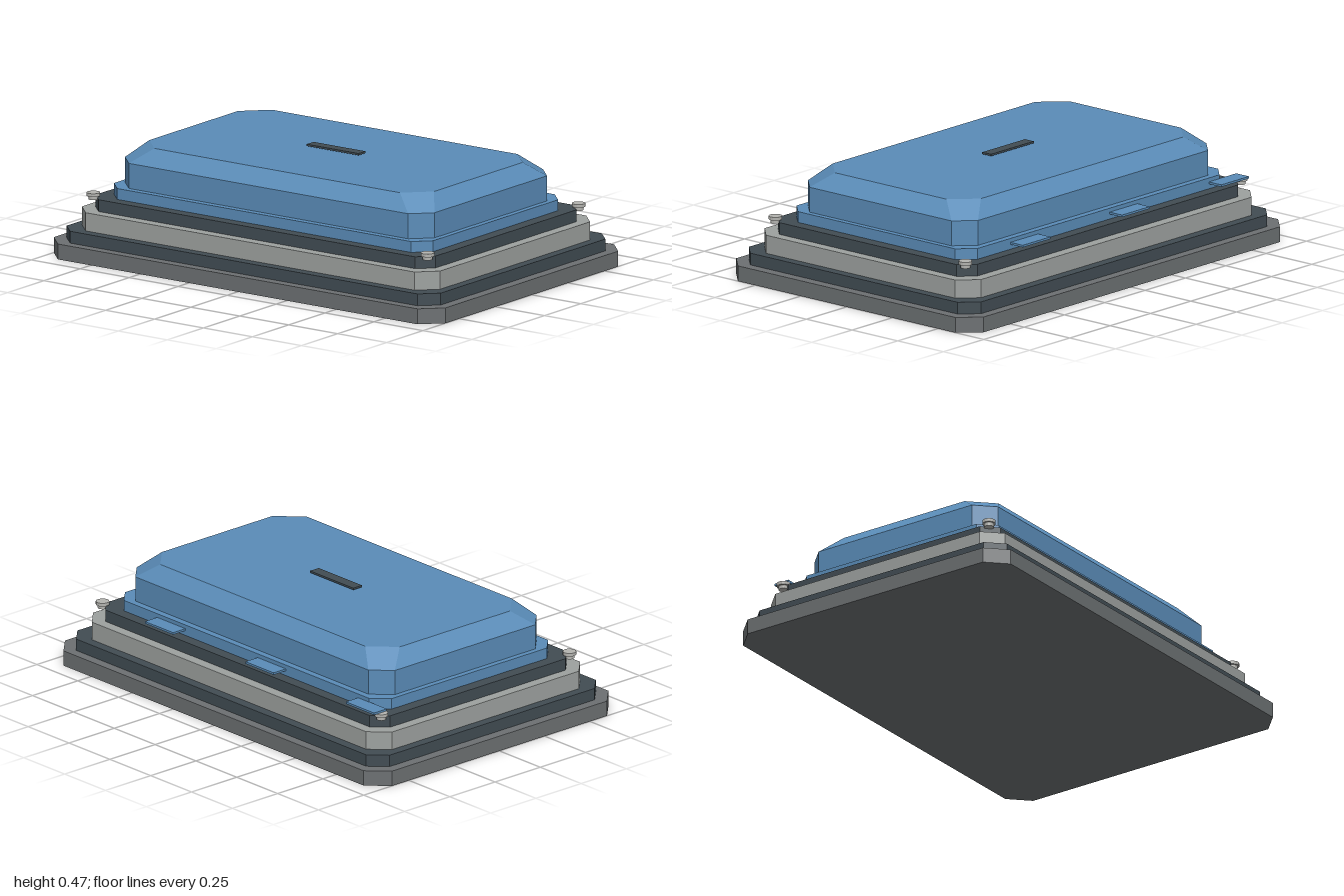
import * as THREE from 'three';

const mat = (color) => new THREE.MeshStandardMaterial({ color, flatShading: true });

// Corners of a rectangle with cut corners, at height y
function ring(hx, hz, cut, y) {
  return [
    [hx - cut, hz], [hx, hz - cut], [hx, cut - hz], [hx - cut, -hz],
    [cut - hx, -hz], [-hx, cut - hz], [-hx, hz - cut], [cut - hx, hz],
  ].map(([x, z]) => [x, y, z]);
}

// Closed solid lofted through a stack of rings, bottom to top
function loft(rings) {
  const pos = [];
  const tri = (a, b, c) => pos.push(...a, ...b, ...c);
  const n = 8;
  for (let r = 0; r < rings.length - 1; r++) {
    const lo = rings[r], hi = rings[r + 1];
    for (let i = 0; i < n; i++) {
      const j = (i + 1) % n;
      tri(lo[i], lo[j], hi[j]);
      tri(lo[i], hi[j], hi[i]);
    }
  }
  const bottom = rings[0], top = rings[rings.length - 1];
  for (let i = 1; i < n - 1; i++) {
    tri(bottom[0], bottom[i + 1], bottom[i]);
    tri(top[0], top[i], top[i + 1]);
  }
  const geo = new THREE.BufferGeometry();
  geo.setAttribute('position', new THREE.Float32BufferAttribute(pos, 3));
  geo.computeVertexNormals();
  return geo;
}

export function createModel() {
  const model = new THREE.Group();
  model.name = 'steppedCase';
  const grey = mat(0x6c7072), dark = mat(0x414c53), light = mat(0x9da19f);
  const blue = mat(0x5a8cb8), metal = mat(0xb4b4b0);

  function add(name, geo, material, x = 0, y = 0, z = 0, parent = model) {
    const mesh = new THREE.Mesh(geo, material);
    mesh.name = name;
    mesh.position.set(x, y, z);
    parent.add(mesh);
    return mesh;
  }

  // Stepped plates: name, half width, half depth, corner cut, bottom, top
  const plates = [
    ['basePlate', 1, 0.677, 0.082, 0, 0.065, grey],
    ['lowerGasket', 0.955, 0.635, 0.068, 0.065, 0.115, dark],
    ['middleFrame', 0.914, 0.592, 0.075, 0.115, 0.192, light],
    ['upperGasket', 0.868, 0.545, 0.06, 0.192, 0.242, dark],
    ['lidFlange', 0.815, 0.495, 0.065, 0.242, 0.288, blue],
  ];
  for (const [name, hx, hz, cut, y0, y1, material] of plates) {
    add(name, loft([ring(hx, hz, cut, y0), ring(hx, hz, cut, y1)]), material);
  }

  // Lid with bevelled top edge
  add('lid', loft([
    ring(0.79, 0.465, 0.077, 0.288),
    ring(0.79, 0.465, 0.077, 0.394),
    ring(0.727, 0.405, 0.1, 0.458),
  ]), blue);

  // Thin plate hovering just over the lid
  add('topPlate', new THREE.BoxGeometry(0.265, 0.008, 0.048), dark, 0, 0.469, 0);

  // Tabs along the back edge
  for (const x of [-0.77, -0.155, 0.46]) {
    add('backTab', new THREE.BoxGeometry(0.172, 0.009, 0.07), blue, x, 0.267, -0.528);
  }

  // Corner screws
  const head = new THREE.CylinderGeometry(0.028, 0.028, 0.014, 16);
  const shank = new THREE.CylinderGeometry(0.02, 0.02, 0.018, 16);
  for (const sx of [-1, 1]) for (const sz of [-1, 1]) {
    const screw = new THREE.Group();
    screw.name = 'cornerScrew';
    screw.position.set(sx * 0.853, 0, sz * 0.52);
    add('screwHead', head, metal, 0, 0.255, 0, screw);
    add('screwShank', shank, metal, 0, 0.242, 0, screw);
    model.add(screw);
  }
  return model;
}
